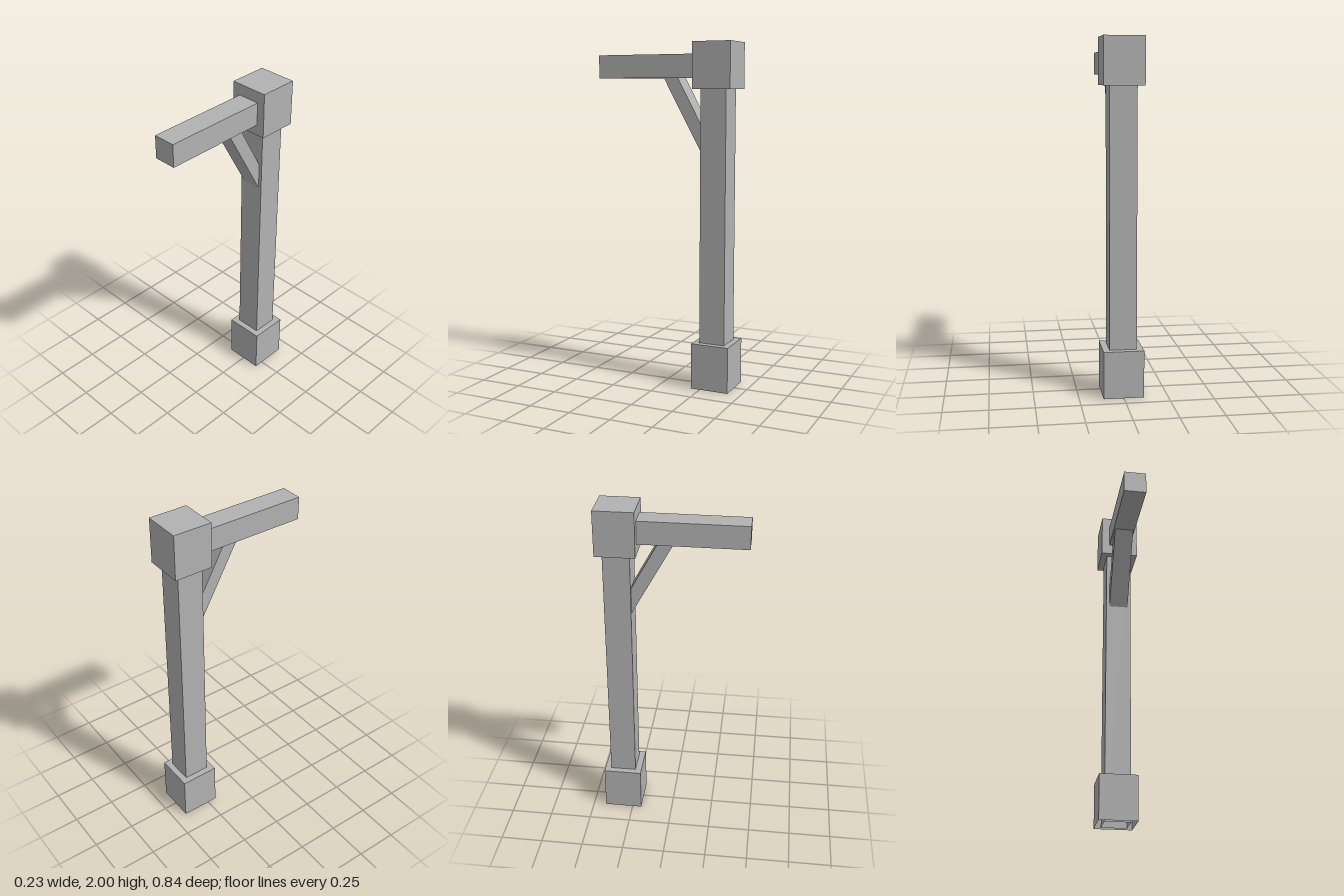
import * as THREE from 'three';

export function createModel() {
  const model = new THREE.Group();
  const grey = new THREE.MeshStandardMaterial({ color: 0xb2b2b2, side: THREE.DoubleSide });
  grey.name = 'plain grey';
  const postZ = -0.308;

  // Box from its width, y range and z range; openBottom drops the underside
  function block(name, width, [y0, y1], [z0, z1], openBottom = false) {
    const geometry = new THREE.BoxGeometry(width, y1 - y0, z1 - z0);
    if (openBottom) {
      const index = Array.from(geometry.index.array);
      index.splice(18, 6); // the -y side
      geometry.setIndex(index);
      geometry.clearGroups();
    }
    geometry.translate(0, (y0 + y1) / 2, (z0 + z1) / 2);
    const mesh = new THREE.Mesh(geometry, grey);
    mesh.name = name;
    model.add(mesh);
  }
  const around = (half) => [postZ - half, postZ + half];

  // Upright: hollow base and post, solid cap
  block('base', 0.228, [0, 0.27], around(0.114), true);
  block('post', 0.154, [0, 1.76], around(0.077), true);
  block('cap', 0.228, [1.737, 2], around(0.114));

  // Arm reaching forward from the cap
  block('beam', 0.132, [1.8, 1.934], [-0.21, 0.422]);

  // Slanted brace: side profile drawn as (z, y), extruded across x
  const profile = new THREE.Shape([
    [0.005, 1.8], [-0.082, 1.8], [-0.233, 1.525], [-0.233, 1.37],
  ].map(([z, y]) => new THREE.Vector2(-z, y)));
  const braceGeometry = new THREE.ExtrudeGeometry(profile, { depth: 0.114, bevelEnabled: false });
  braceGeometry.translate(0, 0, -0.057);
  braceGeometry.rotateY(Math.PI / 2);
  const brace = new THREE.Mesh(braceGeometry, grey);
  brace.name = 'brace';
  model.add(brace);

  return model;
}
